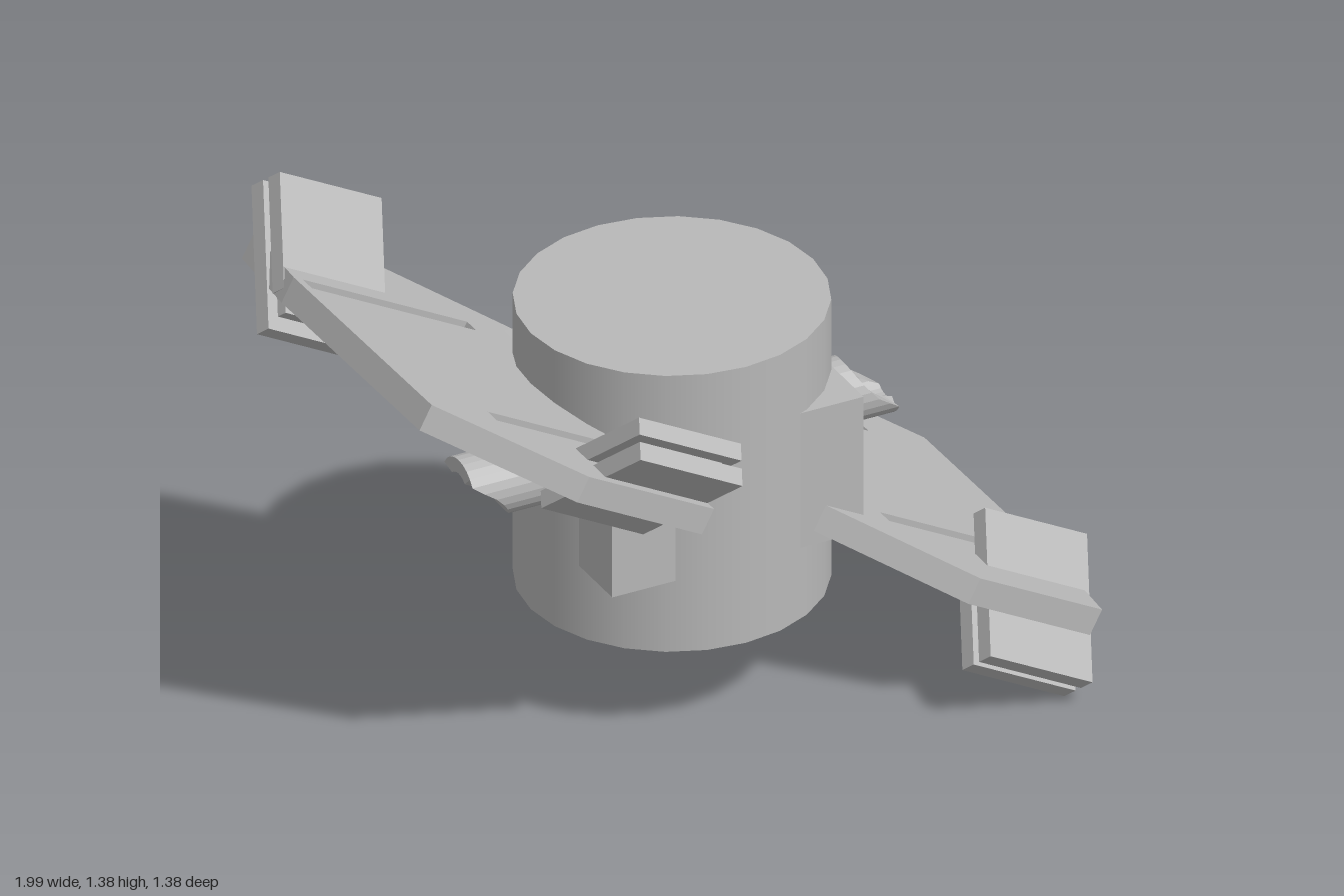
import * as THREE from 'three';

const grey = new THREE.MeshStandardMaterial({ color: 0xb8b8b8 });
grey.name = 'plain grey';

function add(parent, name, geometry) {
  const mesh = new THREE.Mesh(geometry, grey);
  mesh.name = name;
  parent.add(mesh);
  return mesh;
}

// Wing plate outline as [span, z], with one long slit near each end
function wingGeometry() {
  const shape = new THREE.Shape([
    [-0.25, -0.35], [-0.62, -0.63], [-1.02, -0.63], [-1.05, -0.36],
    [-1.03, 0.37], [-0.66, 0.62], [-0.25, 0.62],
  ].map(([u, z]) => new THREE.Vector2(u, z)));
  for (const [u0, u1, z0, z1] of [[-0.81, -0.34, 0.31, 0.36], [-1.02, -0.48, -0.36, -0.31]]) {
    shape.holes.push(new THREE.Path([[u0, z0], [u0, z1], [u1, z1], [u1, z0]]
      .map(([u, z]) => new THREE.Vector2(u, z))));
  }
  const geo = new THREE.ExtrudeGeometry(shape, { depth: 0.075, bevelEnabled: false });
  geo.translate(0, 0, -0.0375);
  return geo.rotateX(Math.PI / 2);
}

// Layered slab passing through the wing at 45 degrees
// sign: -1 puts it at the opposite point of the model; end: +1 front, -1 back
function addSlab(parent, sign, end, u) {
  const slab = new THREE.Group();
  slab.name = 'slottedSlab';
  const k = Math.SQRT1_2;
  // each layer: name, width, start and end along slab, start and end across it
  const layers = [
    ['outerBoard', 0.335, 0, 0.41, 0, 0.048],
    ['slabCore', 0.27, 0.04, 0.37, 0.04, 0.08],
    ['innerBoard', 0.335, 0.09, 0.41, 0.07, 0.117],
  ];
  for (const [name, w, s0, s1, t0, t1] of layers) {
    const s = (s0 + s1) / 2, t = (t0 + t1) / 2;
    const board = add(slab, name, new THREE.BoxGeometry(w, s1 - s0, t1 - t0));
    const v = -0.15 + k * (s + t), z = 0.4 + k * (s - t);
    board.position.set(u, v, z * end).multiplyScalar(sign);
    board.rotation.x = end * Math.PI / 4;
  }
  parent.add(slab);
}

// Hollow nozzle along +x with its upper rim scooped away
function nozzleGeometry() {
  const profile = [[0.05, 0.45], [0.05, 0.62], [0.09, 0.62], [0.09, 0.36]]
    .map(([r, x]) => new THREE.Vector2(r, x)).reverse();
  profile.push(new THREE.Vector2(0, 0.45));
  const geo = new THREE.LatheGeometry(profile, 24);
  geo.rotateZ(-Math.PI / 2);
  const p = geo.attributes.position;
  for (let i = 0; i < p.count; i++) {
    if (p.getX(i) < 0.6) continue;
    const h = THREE.MathUtils.clamp((p.getY(i) + 0.03) / 0.12, 0, 1);
    p.setX(i, 0.62 - 0.13 * Math.sqrt(h));
  }
  const flat = geo.toNonIndexed();
  flat.computeVertexNormals();
  return flat;
}

export function createModel() {
  const model = new THREE.Group();
  model.name = 'satellite';

  // Body drum with a square core whose corners show
  add(model, 'bodyDrum', new THREE.CylinderGeometry(0.41, 0.41, 0.82, 24)).position.y = 0.7;
  add(model, 'squareCore', new THREE.BoxGeometry(0.73, 0.4, 0.73)).position.y = 0.7;

  // Side nozzles
  for (const turn of [0, Math.PI]) {
    const nozzle = add(model, 'nozzle', nozzleGeometry());
    nozzle.position.y = 0.7;
    nozzle.rotation.z = turn;
    nozzle.material.side = THREE.DoubleSide;
  }

  // Tilted wings, one the opposite of the other through the body centre
  const wings = new THREE.Group();
  wings.name = 'wings';
  wings.position.y = 0.7;
  wings.rotation.z = -28 * Math.PI / 180;
  for (const sign of [1, -1]) {
    const wing = add(wings, 'wingPlate', wingGeometry());
    if (sign < 0) wing.rotation.y = Math.PI;
    addSlab(wings, sign, 1, -0.42);
    addSlab(wings, sign, -1, -0.88);
  }
  model.add(wings);
  return model;
}
